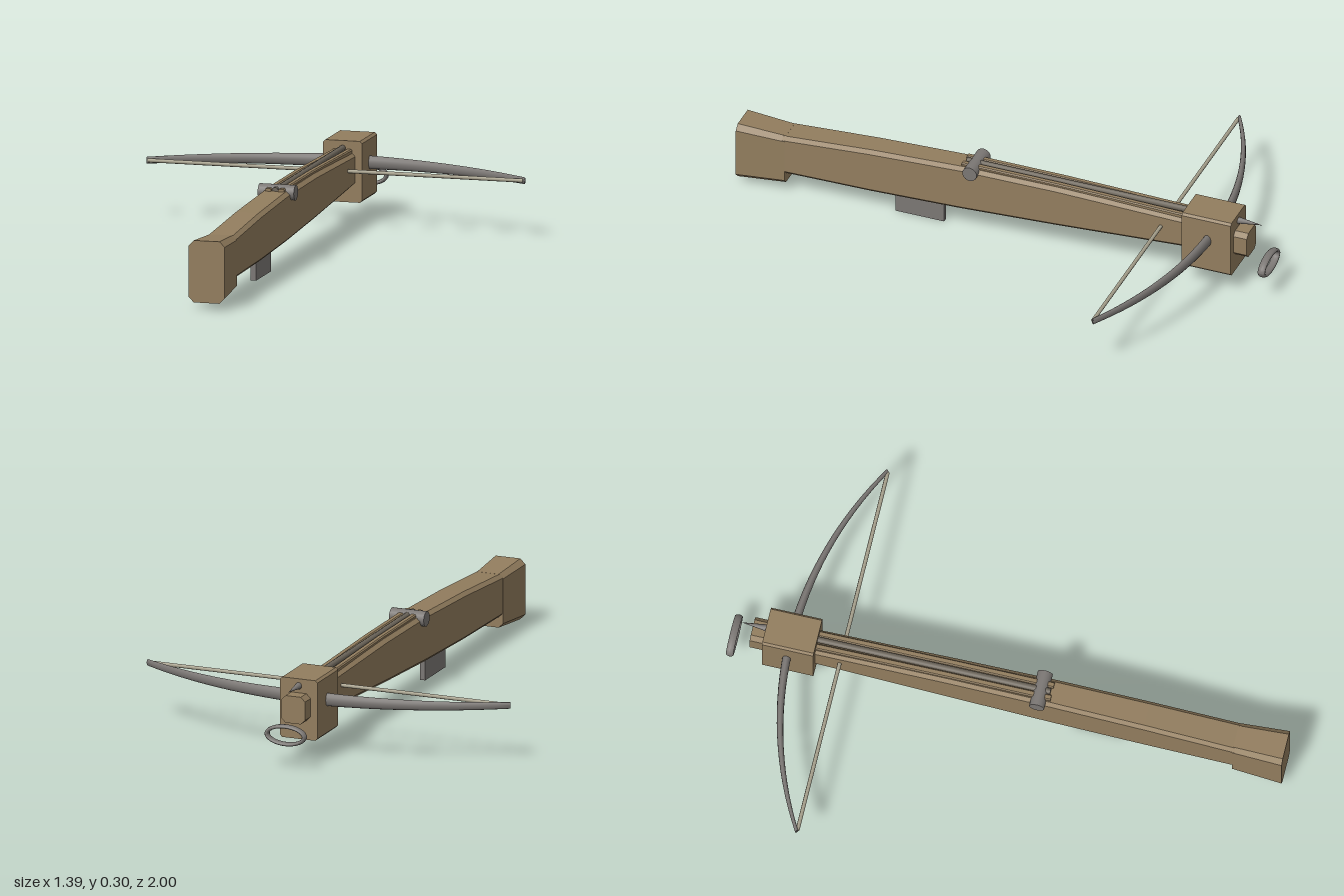
import * as THREE from 'three';

const mat = (name, color, extra = {}) => Object.assign(new THREE.MeshStandardMaterial({ color, ...extra }), { name });

// Joins equal-length rings of points (counter-clockwise seen from +z, rings running towards -z)
function loft(rings, smooth = false) {
  const n = rings[0].length, pos = [], idx = [];
  rings.forEach(r => r.forEach(p => pos.push(...p)));
  for (let i = 0; i < rings.length - 1; i++) {
    for (let j = 0; j < n; j++) {
      const a = i * n + j, b = i * n + (j + 1) % n;
      idx.push(a, a + n, b, b, a + n, b + n);
    }
  }
  const last = (rings.length - 1) * n;
  for (let j = 1; j < n - 1; j++) idx.push(0, j, j + 1, last, last + j + 1, last + j);
  let g = new THREE.BufferGeometry();
  g.setAttribute('position', new THREE.Float32BufferAttribute(pos, 3));
  g.setIndex(idx);
  if (!smooth) g = g.toNonIndexed();
  g.computeVertexNormals();
  return g;
}

// Chamfered rectangle at depth z
function ring(z, w, y0, y1, c, x = 0) {
  return [[w - c, y0], [w, y0 + c], [w, y1 - c], [w - c, y1], [c - w, y1], [-w, y1 - c], [-w, y0 + c], [c - w, y0]]
    .map(([px, py]) => [x + px, py, z]);
}

export function createModel() {
  const root = new THREE.Group();
  root.name = 'crossbow';
  const wood = mat('wood', 0x927d5e);
  const steel = mat('steel', 0x7b7774);
  const cord = mat('cord', 0xa8a28e);
  const shaftMat = mat('boltShaft', 0x6e675c);
  const add = (name, geo, m) => {
    const mesh = new THREE.Mesh(geo, m);
    mesh.name = name;
    root.add(mesh);
    return mesh;
  };

  // Stock: z, half width, bottom, top
  add('stock', loft([
    [0.83, 0.056, 0.08, 0.234], [0.5, 0.054, 0.083, 0.256], [0.16, 0.052, 0.093, 0.27],
    [-0.2, 0.049, 0.11, 0.27], [-0.7, 0.046, 0.14, 0.257],
  ].map(([z, w, a, b]) => ring(z, w, a, b, 0.013))), wood);
  add('butt', loft([ring(1, 0.066, 0.024, 0.245, 0.019), ring(0.82, 0.057, 0.04, 0.235, 0.016)]), wood);

  // Rails either side of the bolt groove
  for (const s of [-1, 1]) {
    add(s > 0 ? 'leftRail' : 'rightRail', loft([[0.16, 0.28], [-0.2, 0.28], [-0.7, 0.27]]
      .map(([z, y]) => ring(z, 0.011, 0.235, y, 0.004, s * 0.024))), wood);
  }

  // Head block that holds the bow, with its nose
  add('headBlock', loft([ring(-0.685, 0.071, 0.081, 0.3, 0.008), ring(-0.87, 0.071, 0.081, 0.3, 0.008)]), wood);
  add('nose', loft([ring(-0.86, 0.045, 0.15, 0.249, 0.016), ring(-0.92, 0.045, 0.15, 0.249, 0.016)]), wood);

  // Bow: tapering elliptical sections along a circular arc
  const half = 0.69, sag = 0.185, R = (half * half + sag * sag) / (2 * sag);
  const maxA = Math.asin(half / R), bow = [];
  for (let i = 0; i <= 32; i++) {
    const t = i / 16 - 1, a = t * maxA, k = Math.abs(t);
    const th = 0.016 - 0.01 * k, h = 0.025 - 0.013 * k, r = [];
    for (let j = 0; j < 12; j++) {
      const q = j / 12 * Math.PI * 2, d = R + th * Math.cos(q);
      r.push([Math.sin(a) * d, 0.209 + h * Math.sin(q), -0.783 + R - Math.cos(a) * d]);
    }
    bow.push(r);
  }
  add('bow', loft(bow.reverse(), true), mat('bowSteel', 0x7b7774, { side: THREE.DoubleSide }));

  // Bowstring
  const string = add('bowstring', new THREE.CylinderGeometry(0.007, 0.007, 1.37, 8), cord);
  string.rotation.z = Math.PI / 2;
  string.position.set(0, 0.209, -0.596);

  // Release nut and trigger plate
  const nut = add('releaseNut', new THREE.CylinderGeometry(0.027, 0.027, 0.132, 20), steel);
  nut.rotation.z = Math.PI / 2;
  nut.position.set(0, 0.262, 0.118);
  add('trigger', new THREE.BoxGeometry(0.02, 0.1, 0.184), steel).position.set(0, 0.05, 0.328);

  // Bolt lying in the groove
  const shaft = add('boltShaft', new THREE.CylinderGeometry(0.011, 0.011, 1.03, 10), shaftMat);
  shaft.rotation.x = -Math.PI / 2;
  shaft.position.set(0, 0.273, -0.362);
  const tip = add('boltTip', new THREE.ConeGeometry(0.012, 0.09, 10), steel);
  tip.rotation.x = -Math.PI / 2;
  tip.position.set(0, 0.275, -0.916);

  // Foot stirrup ring ahead of the nose
  const stirrup = new THREE.TorusGeometry(1, 0.15, 10, 32);
  const p = stirrup.attributes.position;
  for (let i = 0; i < p.count; i++) {
    const u = Math.atan2(p.getY(i), p.getX(i)), off = (Math.hypot(p.getX(i), p.getY(i)) - 1) / 0.15;
    p.setXYZ(i, Math.cos(u) * (0.071 + off * 0.008), Math.sin(u) * (0.032 + off * 0.007), p.getZ(i) / 0.15 * 0.014);
  }
  stirrup.computeVertexNormals();
  add('stirrup', stirrup, steel).position.set(0, 0.125, -0.986);

  return root;
}
